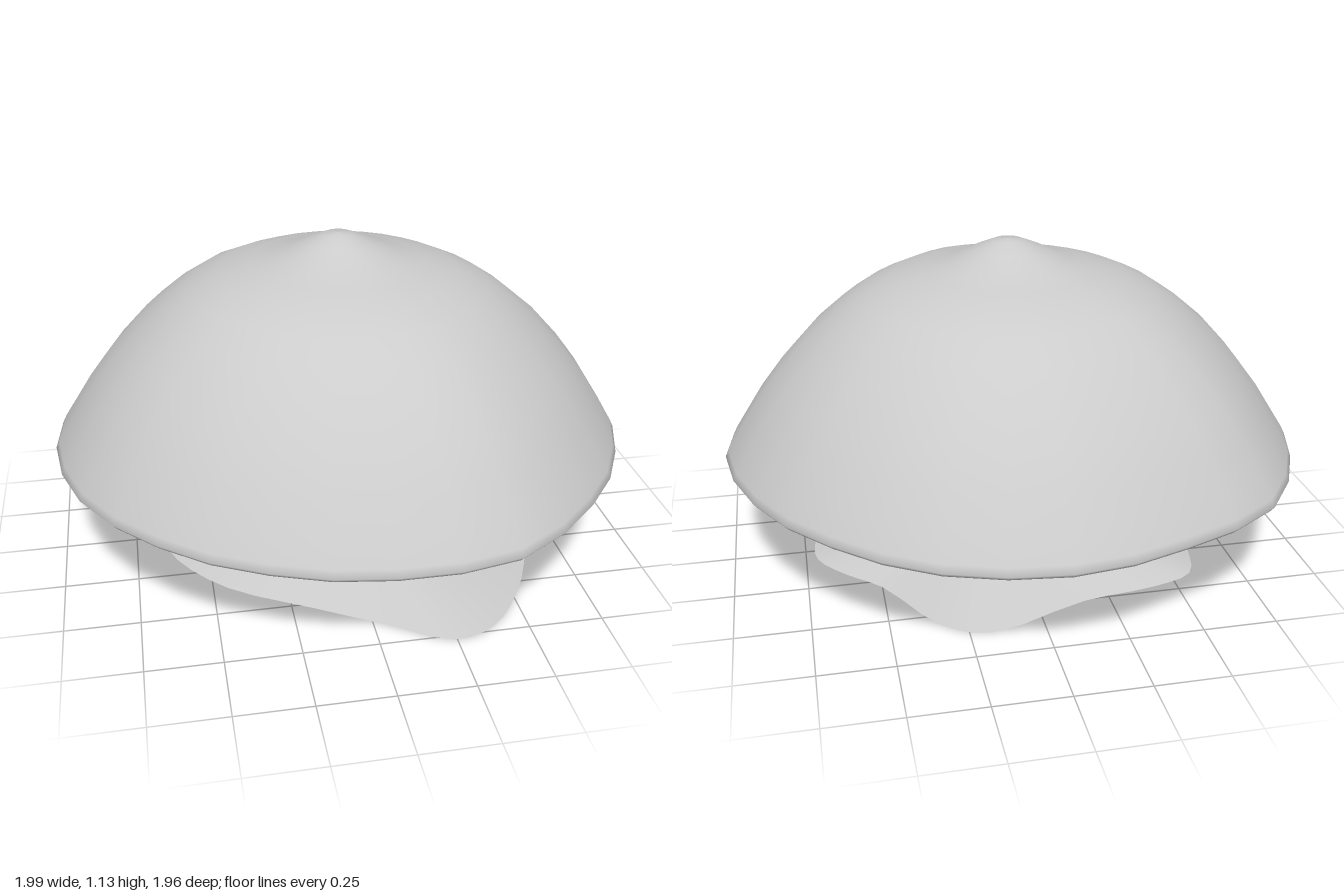
import * as THREE from 'three';

const material = new THREE.MeshStandardMaterial({ color: 0xcccccc, side: THREE.DoubleSide });

// Smooth skin over closed rings of equal length, listed from top to bottom
function loft(name, rings) {
  const n = rings[0].length;
  const index = [];
  for (let i = 0; i < rings.length - 1; i++) {
    for (let j = 0; j < n; j++) {
      const k = (j + 1) % n;
      const a = i * n + j, b = i * n + k, c = a + n, d = b + n;
      index.push(a, b, c, b, d, c);
    }
  }
  const geometry = new THREE.BufferGeometry().setFromPoints(rings.flat());
  geometry.setIndex(index);
  geometry.computeVertexNormals();
  const mesh = new THREE.Mesh(geometry, material);
  mesh.name = name;
  return mesh;
}

// Cap: a peaked dome with a slightly uneven rim and a hollowed underside
function makeCap() {
  const rim = [1, 0.985, 0.99, 1.02, 0.98, 0.96, 0.965, 0.99,
    1, 1, 1.02, 0.975, 0.985, 0.98, 0.965, 0.98];
  const profile = [
    [0, 1.135], [0.05, 1.13], [0.11, 1.105], [0.2, 1.062], [0.3, 1.035], [0.41, 1.005],
    [0.51, 0.96], [0.6, 0.9], [0.7, 0.815], [0.8, 0.705], [0.88, 0.6], [0.95, 0.49],
    [0.985, 0.435], [0.997, 0.41], [0.985, 0.395], [0.93, 0.378], [0.8, 0.35],
    [0.65, 0.328], [0.52, 0.322], [0.4, 0.335], [0.3, 0.365], [0.23, 0.41], [0.19, 0.46],
  ];
  const segments = 32;
  const rings = profile.map(([r, y]) => Array.from({ length: segments }, (_, j) => {
    const angle = (j / segments) * Math.PI * 2;
    const wobble = (rim[j >> 1] + rim[((j + 1) >> 1) % 16]) / 2;
    const scale = THREE.MathUtils.lerp(1, wobble, Math.min(1, r * 1.5));
    return new THREE.Vector3(Math.cos(angle) * r * scale, y, Math.sin(angle) * r * scale);
  }));
  return loft('cap', rings);
}

// Stem: a round neck spreading into a thin, ragged foot that is open below
function makeStem() {
  const outline = [
    [0.71, 0.08], [0.63, 0.32], [0.52, 0.56], [0.38, 0.73], [0.24, 0.77], [0.05, 0.66],
    [-0.17, 0.53], [-0.45, 0.36], [-0.61, 0.16], [-0.66, -0.02], [-0.62, -0.24],
    [-0.57, -0.41], [-0.42, -0.47], [-0.16, -0.51], [0.18, -0.63], [0.33, -0.56],
    [0.5, -0.29], [0.62, -0.18], [0.71, -0.06],
  ].map(([x, z]) => new THREE.Vector3(x, 0, z));
  const foot = new THREE.CatmullRomCurve3(outline, true).getPoints(57).slice(0, -1);
  // height, neck radius, share of the foot outline
  const profile = [
    [0.47, 0.22, 0], [0.4, 0.205, 0], [0.34, 0.193, 0], [0.25, 0.188, 0], [0.19, 0.205, 0],
    [0.15, 0.22, 0.02], [0.125, 0.22, 0.11], [0.1, 0.22, 0.22], [0.05, 0.22, 0.6], [0, 0.22, 1],
  ];
  const rings = profile.map(([y, r, share]) => foot.map((p) =>
    p.clone().setLength(r).lerp(p, share).setY(y)));
  return loft('stem', rings);
}

export function createModel() {
  const group = new THREE.Group();
  group.name = 'mushroom';
  group.add(makeCap(), makeStem());
  return group;
}
